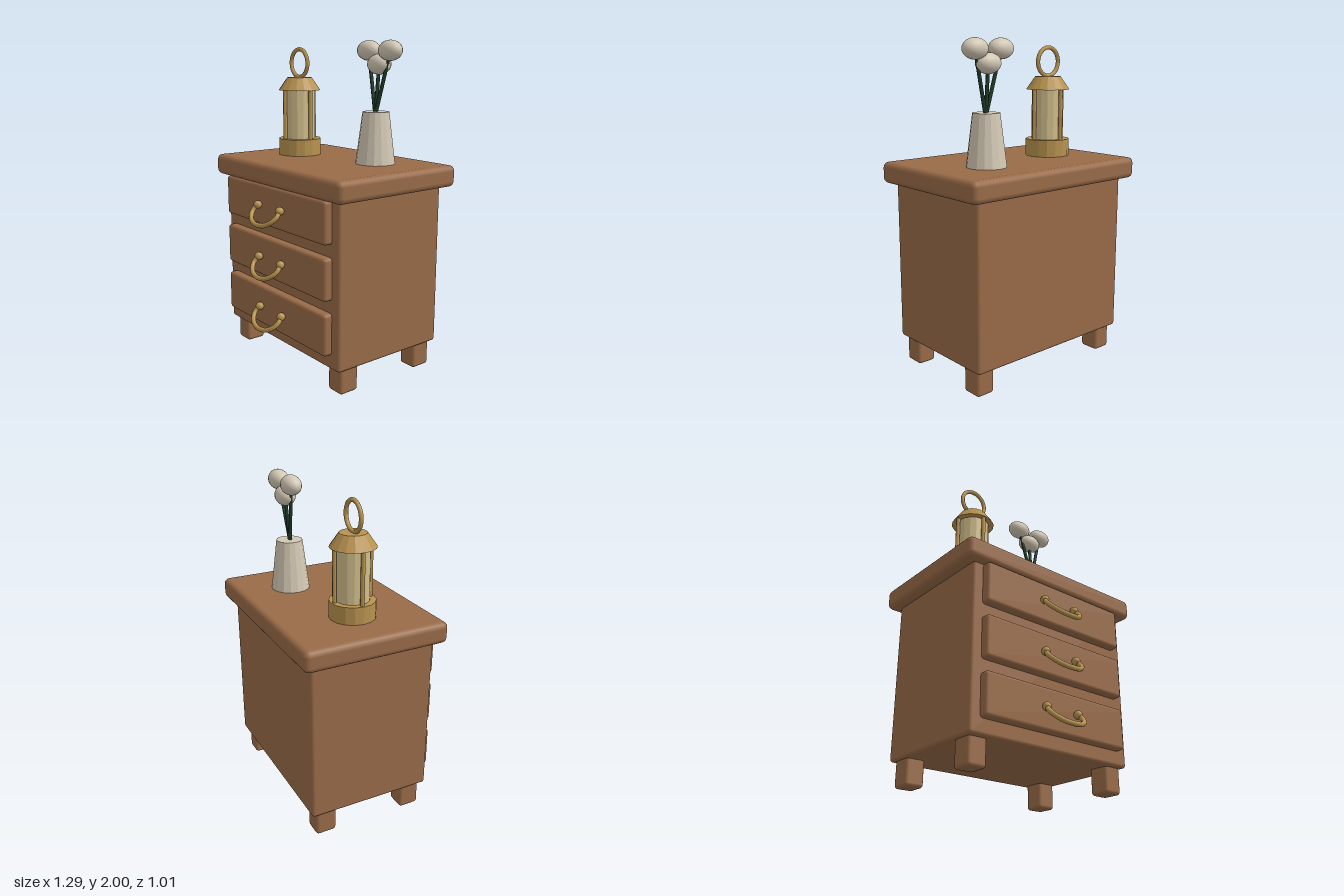
import * as THREE from 'three';
import { RoundedBoxGeometry } from 'three/addons/geometries/RoundedBoxGeometry.js';

const mat = (name, color, flatShading = false) => {
  const m = new THREE.MeshStandardMaterial({ color, flatShading });
  m.name = name;
  return m;
};

export function createModel() {
  const wood = mat('wood', 0x996b48);
  const brass = mat('brass', 0xb8924f);
  const glass = mat('lantern glass', 0xd2bf8c);
  const ceramic = mat('ceramic', 0xd3c8b4);
  const green = mat('stem green', 0x1f3a28);
  brass.flatShading = false;

  const model = new THREE.Group();
  model.name = 'nightstand';

  const add = (parent, name, geometry, material, x = 0, y = 0, z = 0) => {
    const mesh = new THREE.Mesh(geometry, material);
    mesh.name = name;
    mesh.position.set(x, y, z);
    parent.add(mesh);
    return mesh;
  };
  // Rounded box given by its limits on each axis
  const block = (name, [x0, x1], [y0, y1], [z0, z1], r) =>
    add(model, name, new RoundedBoxGeometry(x1 - x0, y1 - y0, z1 - z0, 2, r), wood,
      (x0 + x1) / 2, (y0 + y1) / 2, (z0 + z1) / 2);
  // Faceted cylinder or cone standing between two heights
  const drum = (parent, name, rTop, rBottom, y0, y1, material, sides = 16) =>
    add(parent, name, new THREE.CylinderGeometry(rTop, rBottom, y1 - y0, sides).toNonIndexed(),
      material, 0, (y0 + y1) / 2, 0).geometry.computeVertexNormals();

  // Cabinet
  block('top', [-0.645, 0.645], [1.145, 1.275], [-0.505, 0.39], 0.035);
  block('body', [-0.577, 0.577], [0.16, 1.18], [-0.445, 0.335], 0.02);
  for (const x of [-0.495, 0.495])
    for (const z of [-0.345, 0.235])
      block('leg', [x - 0.06, x + 0.06], [0.005, 0.19], [z - 0.065, z + 0.065], 0.02);

  // Drawers with drooping bail handles
  const bail = new THREE.CatmullRomCurve3([
    [-0.115, 0, 0], [-0.127, -0.03, 0.026], [-0.108, -0.06, 0.053], [-0.06, -0.085, 0.075],
    [0, -0.092, 0.082],
    [0.06, -0.085, 0.075], [0.108, -0.06, 0.053], [0.127, -0.03, 0.026], [0.115, 0, 0],
  ].map((p) => new THREE.Vector3(...p)));
  const bailGeometry = new THREE.TubeGeometry(bail, 32, 0.015, 10);
  const knobGeometry = new THREE.SphereGeometry(0.026, 14, 10);
  for (let i = 0; i < 3; i++) {
    const y = 0.375 + i * 0.325;
    block('drawer', [-0.514, 0.514], [y - 0.125, y + 0.125], [0.29, 0.388], 0.02);
    const handle = new THREE.Group();
    handle.name = 'handle';
    handle.position.set(0, y + 0.002, 0.408);
    add(handle, 'bail', bailGeometry, brass);
    for (const x of [-0.117, 0.117]) add(handle, 'knob', knobGeometry, brass, x, 0, 0);
    model.add(handle);
  }

  // Lantern
  const lantern = new THREE.Group();
  lantern.name = 'lantern';
  lantern.position.set(-0.315, 0, -0.055);
  model.add(lantern);
  drum(lantern, 'lanternBase', 0.137, 0.137, 1.27, 1.38, brass);
  drum(lantern, 'lanternGlass', 0.1, 0.1, 1.38, 1.695, glass);
  drum(lantern, 'lanternRoof', 0.08, 0.136, 1.69, 1.77, brass);
  for (let i = 0; i < 4; i++) {
    const a = (i * Math.PI) / 2;
    add(lantern, 'post', new THREE.CylinderGeometry(0.013, 0.013, 0.32, 8), brass,
      Math.cos(a) * 0.115, 1.535, Math.sin(a) * 0.115);
  }
  add(lantern, 'ring', new THREE.TorusGeometry(0.087, 0.013, 10, 32), brass, 0, 1.86, 0);

  // Vase with three blossoms
  const vase = new THREE.Group();
  vase.name = 'vaseWithFlowers';
  vase.position.set(0.29, 0, -0.175);
  model.add(vase);
  drum(vase, 'vase', 0.08, 0.12, 1.27, 1.585, ceramic);
  const root = new THREE.Vector3(0, 1.56, 0.005);
  for (const [x, y] of [[-0.093, 1.94], [0, 1.86], [0.093, 1.94]]) {
    const tip = new THREE.Vector3(x, y, -0.02);
    add(vase, 'stem', new THREE.TubeGeometry(new THREE.LineCurve3(root, tip), 1, 0.011, 8), green);
    add(vase, 'blossom', new THREE.SphereGeometry(0.06, 18, 12), ceramic, x, y, -0.02)
      .scale.set(1.4, 1, 1);
  }
  return model;
}
